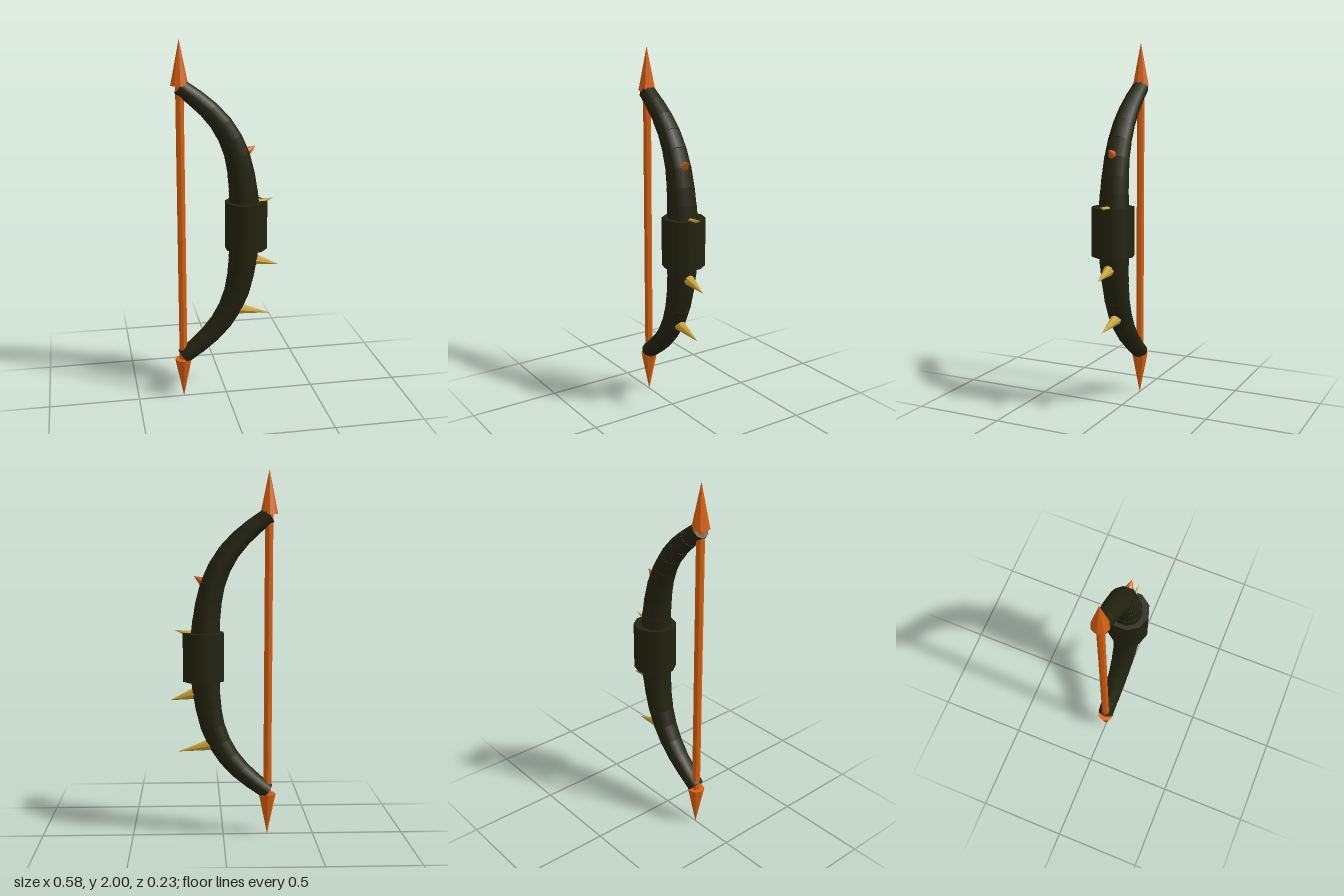
import * as THREE from 'three';

const mat = (name, color, flatShading = false) => {
  const m = new THREE.MeshStandardMaterial({ color });
  m.name = name;
  m.flatShading = flatShading;
  return m;
};

export function createModel() {
  const dark = mat('dark wood', 0x232310);
  const orange = mat('orange', 0xd9600f, true);
  const gold = mat('gold', 0xcaa233, true);
  const bow = new THREE.Group();
  bow.name = 'bow';
  const UP = new THREE.Vector3(0, 1, 0);

  // Tapered rod between two points: r0 at the start, r1 at the end (0 makes a spike)
  function rod(name, a, b, r0, r1, sides, material, parent = bow) {
    const dir = b.clone().sub(a);
    const length = dir.length();
    const geo = r1 === 0
      ? new THREE.ConeGeometry(r0, length, sides)
      : new THREE.CylinderGeometry(r1, r0, length, sides);
    const mesh = new THREE.Mesh(geo, material);
    mesh.name = name;
    mesh.position.copy(a).add(b).multiplyScalar(0.5);
    mesh.quaternion.setFromUnitVectors(UP, dir.normalize());
    parent.add(mesh);
    return mesh;
  }
  const p = (x, y) => new THREE.Vector3(x, y, 0);

  // Grip
  rod('grip', p(0.108, 0.87), p(0.108, 1.133), 0.116, 0.116, 10, dark);

  // Limbs: overlapping tapered segments along a mirrored curve
  const SEGMENTS = 9;
  for (const side of [1, -1]) {
    const limb = new THREE.Group();
    limb.name = side > 0 ? 'upperLimb' : 'lowerLimb';
    const curve = new THREE.CatmullRomCurve3(
      [[0.1, 0], [0.096, 0.15], [0.058, 0.385], [-0.012, 0.535], [-0.11, 0.65], [-0.245, 0.757]]
        .map(([x, y]) => p(x, 1.003 + side * y)));
    const pts = curve.getSpacedPoints(SEGMENTS);
    const radius = (i) => 0.087 - 0.043 * (i / SEGMENTS);
    for (let i = 0; i < SEGMENTS; i++) {
      const overlap = pts[i + 1].clone().sub(pts[i]).multiplyScalar(0.07);
      rod('limbSegment', pts[i].clone().sub(overlap), pts[i + 1],
        radius(i), radius(i + 1) + 0.001, 10, dark, limb);
    }
    bow.add(limb);
  }

  // String and pointed tips
  const sx = -0.245;
  rod('bowstring', p(sx, 0.2), p(sx, 1.8), 0.022, 0.022, 8, orange);
  rod('upperTip', p(sx, 1.765), p(sx, 2), 0.047, 0, 8, orange);
  rod('lowerTip', p(sx, 0.232), p(sx, 0), 0.047, 0, 8, orange);

  // Spikes on the outer side of the limbs
  rod('upperSpike', p(0.095, 1.398), p(0.158, 1.437), 0.034, 0, 8, orange);
  rod('smallSpike', p(0.16, 1.122), p(0.262, 1.147), 0.022, 0, 8, gold);
  rod('middleSpike', p(0.145, 0.802), p(0.291, 0.762), 0.034, 0, 8, gold);
  rod('lowerSpike', p(0.04, 0.519), p(0.246, 0.475), 0.037, 0, 8, gold);

  return bow;
}
